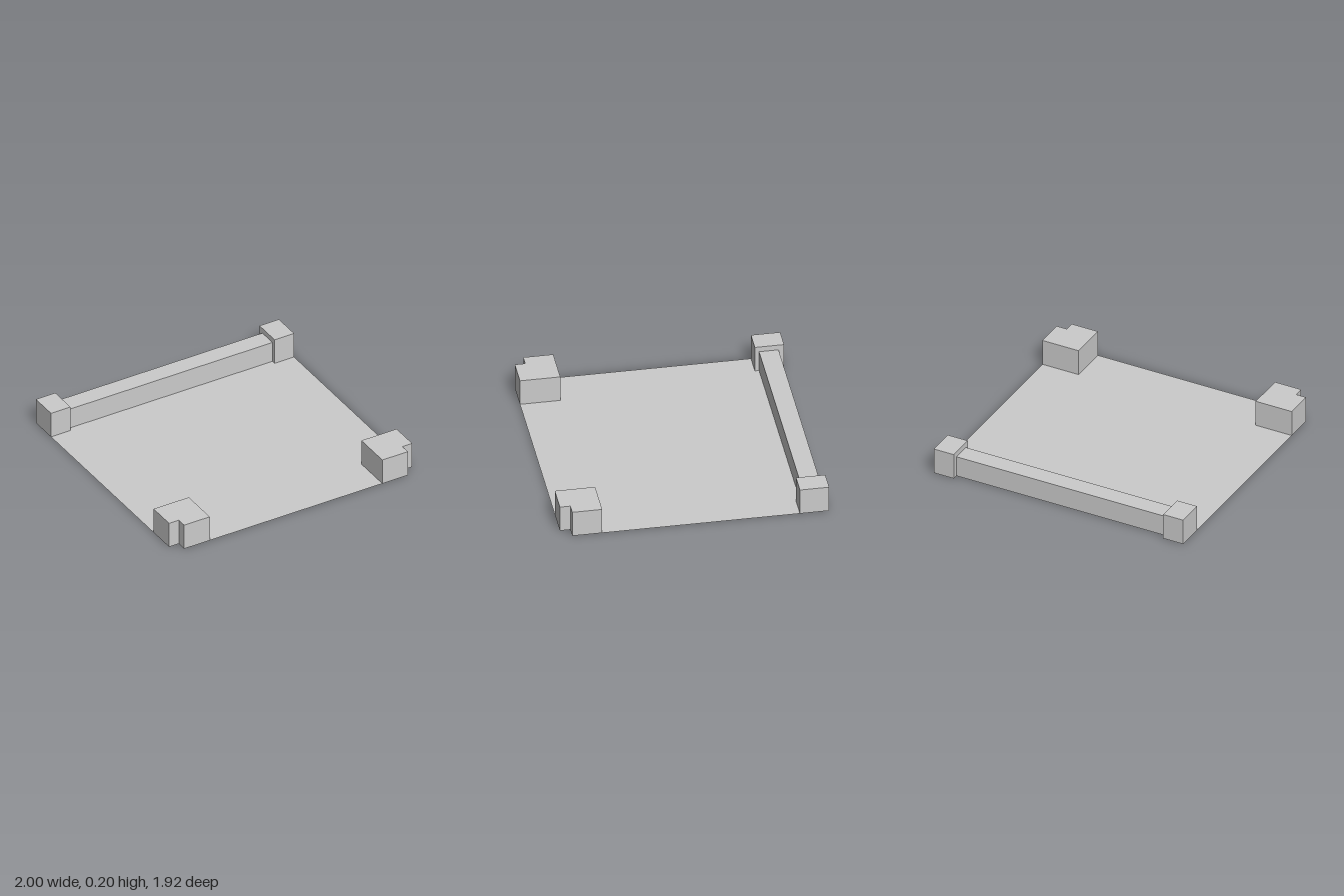
import * as THREE from 'three';

const material = new THREE.MeshStandardMaterial({ color: 0xcccccc, flatShading: true });
const sheetMaterial = new THREE.MeshStandardMaterial({ color: 0xcccccc, flatShading: true, side: THREE.DoubleSide });

// Plan outline given as [x, z] points
const plan = (points) => new THREE.Shape(points.map(([x, z]) => new THREE.Vector2(x, z)));

// Box given by its limits on each axis, standing on the ground
function block(name, x0, x1, z0, z1, height) {
  const mesh = new THREE.Mesh(new THREE.BoxGeometry(x1 - x0, height, z1 - z0), material);
  mesh.position.set((x0 + x1) / 2, height / 2, (z0 + z1) / 2);
  mesh.name = name;
  return mesh;
}

export function createModel() {
  const group = new THREE.Group();
  group.name = 'cornerTray';

  // Thin floor, following the footprint of the posts and rail
  const half = [[0.84, -0.92], [0.84, -0.96], [1, -0.96], [1, 0.885], [0.92, 0.885], [0.92, 0.96]];
  const mirrored = half.map(([x, z]) => [-x, z]).reverse();
  const floorGeometry = new THREE.ShapeGeometry(plan([...half, ...mirrored]));
  floorGeometry.rotateX(Math.PI / 2);
  const floor = new THREE.Mesh(floorGeometry, sheetMaterial);
  floor.name = 'floor';
  group.add(floor);

  // Low rail between the back posts
  group.add(block('backRail', -0.84, 0.84, -0.92, -0.78, 0.16));

  for (const [side, s] of [['left', 1], ['right', -1]]) {
    // Square-cut back post
    group.add(block(side + 'BackPost', Math.min(s * 0.84, s), Math.max(s * 0.84, s), -0.96, -0.75, 0.2));

    // Front post with its outer corner notched
    const outline = [[0.71, 0.67], [1, 0.67], [1, 0.885], [0.92, 0.885], [0.92, 0.96], [0.71, 0.96]];
    const geometry = new THREE.ExtrudeGeometry(plan(outline.map(([x, z]) => [s * x, z])),
      { depth: 0.2, bevelEnabled: false });
    geometry.rotateX(Math.PI / 2);
    const post = new THREE.Mesh(geometry, material);
    post.position.y = 0.2;
    post.name = side + 'FrontPost';
    group.add(post);
  }
  return group;
}
